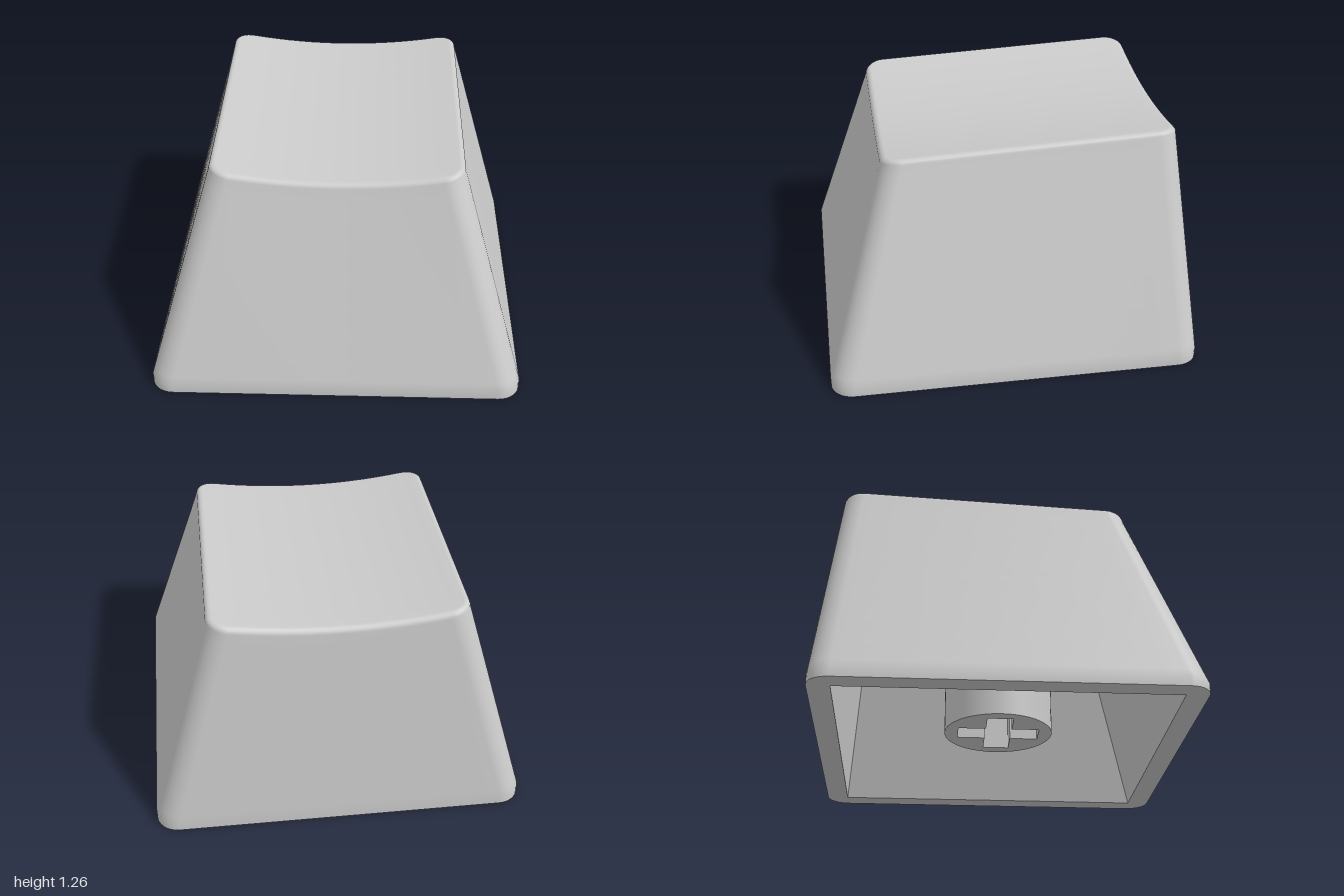
import * as THREE from 'three';
import { toCreasedNormals } from 'three/addons/utils/BufferGeometryUtils.js';

const grey = new THREE.MeshStandardMaterial({ color: 0xcccccc });

function addMesh(group, name, geometry) {
  const mesh = new THREE.Mesh(geometry, grey);
  mesh.name = name;
  group.add(mesh);
  return mesh;
}

// Rounded rectangle in plan, as a list of [x, z]
function roundedLoop(hx, zBack, zFront, r) {
  const arc = 8, straight = 16, pts = [];
  const centres = [[hx - r, zFront - r], [r - hx, zFront - r], [r - hx, zBack + r], [hx - r, zBack + r]];
  centres.forEach(([cx, cz], k) => {
    for (let j = 0; j <= arc; j++) {
      const a = (k + j / arc) * Math.PI / 2;
      pts.push([cx + r * Math.cos(a), cz + r * Math.sin(a)]);
    }
    const [nx, nz] = centres[(k + 1) % 4];
    const a = (k + 1) * Math.PI / 2, dx = r * Math.cos(a), dz = r * Math.sin(a);
    for (let j = 1; j < straight; j++) {
      const t = j / straight;
      pts.push([cx + (nx - cx) * t + dx, cz + (nz - cz) * t + dz]);
    }
  });
  return pts;
}

// Skin over closed rings of [x, y, z]; faces outward when the rings rise
function skin(rings) {
  const n = rings[0].length, index = [];
  for (let i = 0; i < rings.length - 1; i++) {
    for (let j = 0; j < n; j++) {
      const a = i * n + j, b = i * n + (j + 1) % n;
      index.push(a, a + n, b, b, a + n, b + n);
    }
  }
  const g = new THREE.BufferGeometry();
  g.setAttribute('position', new THREE.Float32BufferAttribute(rings.flat(2), 3));
  g.setIndex(index);
  g.computeVertexNormals();
  return g;
}

// Dished top, sloping down to the front
const topY = (x, z) => 1.165 - 0.043 * z + 0.064 * (x / 0.66) ** 2;

function outerShell() {
  const HX = 0.668, BACK = -0.893, FRONT = 0.668, R = 0.11, FILLET = 0.035;
  const base = roundedLoop(1, -1, 1, 0.12);
  const top = roundedLoop(HX, BACK, FRONT, R);
  const rings = [base.map(([x, z]) => [x, 0, z])];

  // Sloping walls
  for (const t of [0, 0.04, 0.12, 0.25, 0.4, 0.55, 0.7, 0.85, 0.95, 1]) {
    rings.push(base.map(([x, z], i) => {
      const [tx, tz] = top[i];
      const yEnd = topY(tx, tz) - FILLET;
      return [x + (tx - x) * t, 0.05 + (yEnd - 0.05) * t, z + (tz - z) * t];
    }));
  }
  // Rounded upper edge
  let rim = top;
  for (let k = 1; k <= 5; k++) {
    const a = k / 5 * Math.PI / 2, inset = FILLET * (1 - Math.cos(a));
    rim = roundedLoop(HX - inset, BACK + inset, FRONT - inset, R - inset);
    rings.push(rim.map(([x, z]) => [x, topY(x, z) - FILLET * (1 - Math.sin(a)), z]));
  }
  // Dish
  const zMid = (BACK + FRONT) / 2;
  for (let k = 11; k >= 0; k--) {
    const s = k / 12;
    rings.push(rim.map(([x, z]) => {
      const px = x * s, pz = zMid + (z - zMid) * s;
      return [px, topY(px, pz), pz];
    }));
  }
  return skin(rings);
}

// Cavity: square-cornered, tapering to a flat ceiling
const OPEN = 0.88, ROOF = 1.0, SIDE = 0.6, BACK_END = 0.79;

function cavity() {
  const ring = (hx, zb, zf, y) => [[hx, y, zf], [hx, y, zb], [-hx, y, zb], [-hx, y, zf]];
  const g = skin([
    ring(OPEN, -OPEN, OPEN, 0),
    ring(SIDE, -BACK_END, SIDE, ROOF),
    ring(0, 0, 0, ROOF),
  ]);
  return toCreasedNormals(g, 0.1);
}

function bottomRim() {
  const shape = new THREE.Shape(roundedLoop(1, -1, 1, 0.12).map(([x, z]) => new THREE.Vector2(x, z)));
  const o = OPEN;
  shape.holes.push(new THREE.Path([[-o, -o], [-o, o], [o, o], [o, -o]].map(p => new THREE.Vector2(...p))));
  return new THREE.ShapeGeometry(shape).rotateX(Math.PI / 2);
}

// Tube with a cross-shaped socket
function stemSocket(radius, y0, y1) {
  const shape = new THREE.Shape().absarc(0, 0, radius, 0, Math.PI * 2, false);
  const L = 0.226, W = 0.072, cross = [];
  for (let k = 0; k < 4; k++) {
    for (const [x, y] of [[L, -W], [L, W], [W, W]]) {
      cross.push(new THREE.Vector2(x, y).rotateAround(new THREE.Vector2(), k * Math.PI / 2));
    }
  }
  shape.holes.push(new THREE.Path(cross.reverse()));
  const g = new THREE.ExtrudeGeometry(shape, { depth: y1 - y0, bevelEnabled: false, curveSegments: 32 });
  g.rotateX(-Math.PI / 2).translate(0, y0, 0);
  return toCreasedNormals(g, 0.5);
}

// Web from the stem to a sloping wall
function rib(reachAtRoof) {
  const y = 0.56, t = 0.07;
  const reach = OPEN + (reachAtRoof - OPEN) * y / ROOF;
  const shape = new THREE.Shape([[0.27, y], [reach + 0.01, y], [reachAtRoof + 0.01, ROOF + 0.01], [0.27, ROOF + 0.01]]
    .map(p => new THREE.Vector2(...p)));
  return new THREE.ExtrudeGeometry(shape, { depth: t, bevelEnabled: false }).translate(0, 0, -t / 2);
}

export function createModel() {
  const model = new THREE.Group();
  model.name = 'keycap';

  addMesh(model, 'outerShell', outerShell());
  addMesh(model, 'innerCavity', cavity());
  addMesh(model, 'bottomRim', bottomRim());

  const stem = new THREE.Group();
  stem.name = 'stem';
  model.add(stem);
  addMesh(stem, 'stemSocket', stemSocket(0.302, 0.11, 0.6));
  addMesh(stem, 'stemRoot', new THREE.CylinderGeometry(0.302, 0.302, 0.42, 64).translate(0, 0.81, 0));

  // Ribs toward left, back, right and front
  ['left', 'back', 'right', 'front'].forEach((side, k) => {
    addMesh(model, side + 'Rib', rib(side === 'back' ? BACK_END : SIDE)).rotation.y = k * Math.PI / 2;
  });
  return model;
}
